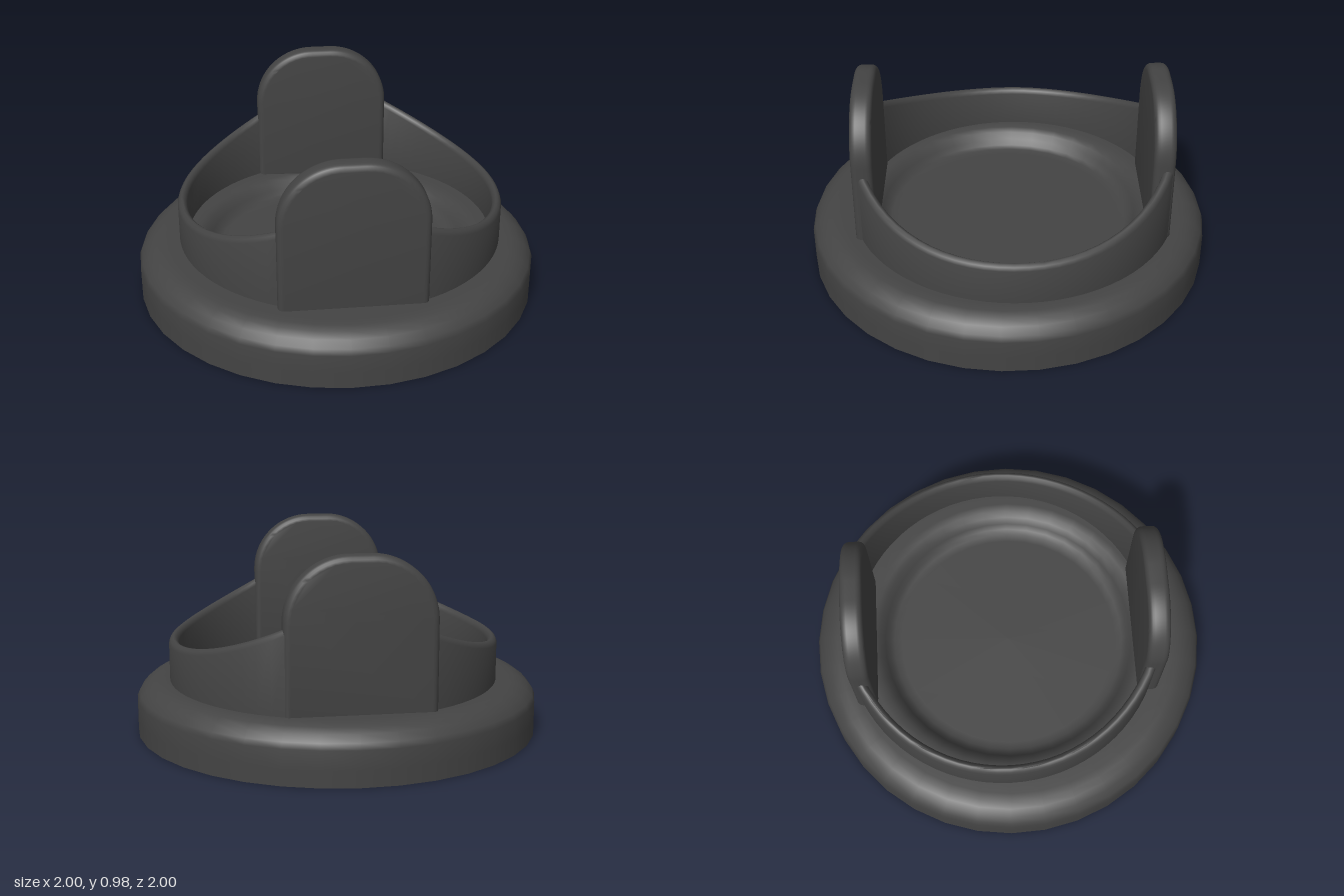
import * as THREE from 'three';
import { toCreasedNormals } from 'three/addons/utils/BufferGeometryUtils.js';

const plastic = new THREE.MeshStandardMaterial({ color: 0x444444, side: THREE.DoubleSide });
plastic.name = 'charcoal plastic';

function part(name, geometry) {
  const mesh = new THREE.Mesh(geometry, plastic);
  mesh.name = name;
  return mesh;
}

// Thin open shell: rim wall, rounded shoulder, flat ledge and sunken floor
function lidShell() {
  const profile = [
    [1, 0], [1, 0.08], [1, 0.17], [0.988, 0.198], [0.96, 0.23], [0.925, 0.252],
    [0.89, 0.263], [0.85, 0.265], [0.74, 0.265], [0.7, 0.26], [0.67, 0.244],
    [0.645, 0.214], [0.625, 0.187], [0.6, 0.175], [0.56, 0.172], [0, 0.172],
  ].map(([r, y]) => new THREE.Vector2(r, y));
  return new THREE.LatheGeometry(profile, 36);
}

// Curved wall whose top edge sweeps up towards the tabs
const RING = { x: 0.02, z: -0.03, outer: 0.815, inner: 0.767 };
function wallArc(start, end, steps = 28) {
  const positions = [], index = [];
  const { outer, inner } = RING;
  for (let i = 0; i <= steps; i++) {
    const a = start + (end - start) * i / steps;
    const c = Math.cos(a), s = Math.sin(a);
    const top = 0.475 + 0.155 * Math.pow((1 - Math.abs(c)) / 0.555, 1.29);
    const section = [
      [outer, 0.262], [outer, top - 0.028], [outer - 0.007, top - 0.01], [outer - 0.02, top],
      [inner + 0.02, top], [inner + 0.007, top - 0.01], [inner, top - 0.028], [inner, 0.262],
    ];
    for (const [r, y] of section) positions.push(RING.x + r * c, y, RING.z + r * s);
  }
  for (let i = 0; i < steps; i++) {
    for (let j = 0; j < 7; j++) {
      const p = i * 8 + j, q = p + 8;
      index.push(p, p + 1, q, p + 1, q + 1, q);
    }
  }
  const g = new THREE.BufferGeometry();
  g.setAttribute('position', new THREE.Float32BufferAttribute(positions, 3));
  g.setIndex(index);
  return toCreasedNormals(g, 0.9);
}

// Upright tab with a domed top and softened edges
function tabGeometry() {
  const b = 0.03, w = 0.35 - b, top = 0.98 - b, bottom = 0.238 + b, r = 0.27;
  const s = new THREE.Shape();
  s.moveTo(-w, bottom);
  s.lineTo(w, bottom);
  s.lineTo(w, top - r);
  s.absarc(w - r, top - r, r, 0, Math.PI / 2);
  s.lineTo(r - w, top);
  s.absarc(r - w, top - r, r, Math.PI / 2, Math.PI);
  s.closePath();
  const g = new THREE.ExtrudeGeometry(s, {
    depth: 0.046, bevelEnabled: true, bevelThickness: b, bevelSize: b, bevelSegments: 4, curveSegments: 12,
  });
  g.translate(0, 0, -0.023);
  return toCreasedNormals(g, 0.6);
}

export function createModel() {
  const model = new THREE.Group();
  model.name = 'lid';
  model.add(part('lidShell', lidShell()));

  // Wall halves end inside the tabs
  const angle = (dx) => Math.acos(dx / 0.79);
  model.add(part('rightWall', wallArc(-angle(0.28), angle(0.32))));
  model.add(part('leftWall', wallArc(Math.PI - angle(0.31), Math.PI + angle(0.365))));

  // Front and back tabs, turned slightly about the lid's axis
  const tabs = new THREE.Group();
  tabs.name = 'tabs';
  const geometry = tabGeometry();
  for (const [name, side] of [['frontTab', 1], ['backTab', -1]]) {
    const tab = part(name, geometry);
    tab.position.z = 0.717 * side;
    tabs.add(tab);
  }
  tabs.position.z = -0.02;
  tabs.rotation.y = 0.042;
  model.add(tabs);
  return model;
}
